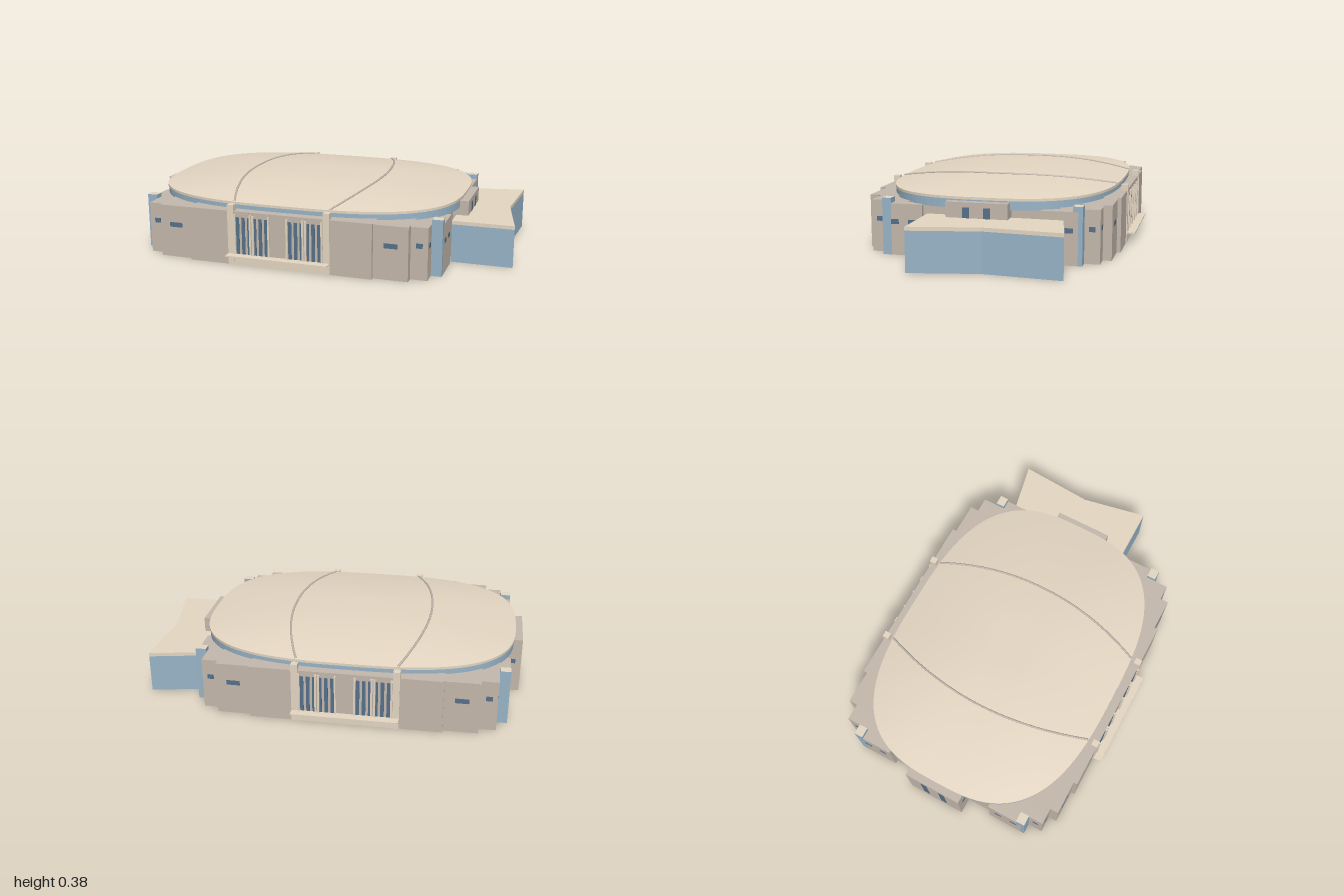
import * as THREE from 'three';

const paint = (color) => new THREE.MeshStandardMaterial({ color, side: THREE.DoubleSide });
const STONE = paint(0xc4b8ac), CREAM = paint(0xe4d6c2), BLUE = paint(0x98b4c8), GLASS = paint(0x56708a);

const N = 2.9, RX = 0.835, RZ = 0.61; // rounded roof outline

function add(parent, name, geometry, material) {
  const mesh = new THREE.Mesh(geometry, material);
  mesh.name = name;
  parent.add(mesh);
  return mesh;
}

function box(parent, name, x0, x1, y0, y1, z0, z1, material) {
  const g = new THREE.BoxGeometry(x1 - x0, y1 - y0, z1 - z0);
  add(parent, name, g, material).position.set((x0 + x1) / 2, (y0 + y1) / 2, (z0 + z1) / 2);
}

// Upright wall along points [x, z, height of the segment that ends here]
function wall(points, y0) {
  const pos = [];
  for (let i = 1; i < points.length; i++) {
    const [ax, az] = points[i - 1], [bx, bz, h] = points[i];
    pos.push(ax, y0, az, bx, y0, bz, bx, h, bz, ax, y0, az, bx, h, bz, ax, h, az);
  }
  const g = new THREE.BufferGeometry();
  g.setAttribute('position', new THREE.Float32BufferAttribute(pos, 3));
  g.computeVertexNormals();
  return g;
}

// Flat horizontal sheet at height y
function sheet(points, y) {
  const shape = new THREE.Shape(points.map(([x, z]) => new THREE.Vector2(x, -z)));
  return new THREE.ShapeGeometry(shape).rotateX(-Math.PI / 2).translate(0, y, 0);
}
const rect = (x0, x1, z0, z1) => [[x0, z1], [x1, z1], [x1, z0], [x0, z0]];

// Rounded-rectangle outline, and the shallow dome over it
function outline(t, s) {
  const c = Math.cos(t), n = Math.sin(t), p = 2 / N;
  return [RX * s * Math.sign(c) * Math.abs(c) ** p, RZ * s * Math.sign(n) * Math.abs(n) ** p];
}
const domeY = (s) => 0.32 + 0.06 * (1 - Math.max(s, 0.22) ** 2);
const roofY = (x, z) => domeY(Math.min(1, (Math.abs(x / RX) ** N + Math.abs(z / RZ) ** N) ** (1 / N)));

function roofDome() {
  const A = 96, R = 14, pos = [], idx = [];
  for (let r = 0; r <= R; r++) for (let a = 0; a <= A; a++) {
    const [x, z] = outline((a / A) * Math.PI * 2, r / R);
    pos.push(x, domeY(r / R), z);
  }
  for (let r = 0; r < R; r++) for (let a = 0; a < A; a++) {
    const i = r * (A + 1) + a, j = i + A + 1;
    idx.push(i, i + 1, j + 1, i, j + 1, j);
  }
  const g = new THREE.BufferGeometry();
  g.setAttribute('position', new THREE.Float32BufferAttribute(pos, 3));
  g.setIndex(idx);
  g.computeVertexNormals();
  return g;
}

function rimBand(y0, y1, s) {
  const pts = [];
  for (let a = 0; a <= 96; a++) pts.push([...outline(-(a / 96) * Math.PI * 2, s), y1]);
  return wall(pts, y0);
}

export function createModel() {
  const model = new THREE.Group();
  model.name = 'arena';
  const hall = new THREE.Group();
  hall.name = 'hall';
  hall.position.x = -0.128;
  model.add(hall);

  // Stepped outer wall: one quarter, mirrored round
  const quarter = [
    [0, 0.655, 0.285], [0.49, 0.655, 0.285], [0.49, 0.635, 0.285], [0.668, 0.635, 0.278],
    [0.668, 0.59, 0.278], [0.755, 0.59, 0.27], [0.755, 0.49, 0.27], [0.81, 0.49, 0.265],
    [0.81, 0.3, 0.265], [0.79, 0.3, 0.265], [0.79, 0.157, 0.265], [0.872, 0.157, 0.3], [0.872, 0, 0.3],
  ];
  for (const sx of [1, -1]) for (const sz of [1, -1]) {
    const pts = quarter.map(([x, z, h]) => [x * sx, z * sz, h]);
    if (sx * sz < 0) {
      const heights = pts.map((p) => p[2]);
      pts.reverse();
      pts.forEach((p, i) => { p[2] = heights[Math.min(heights.length - i, heights.length - 1)]; });
    }
    add(hall, 'outerWall', wall(pts, 0), STONE);
  }

  // Flat roofs over the wall steps
  const decks = [[0.49, 0.655, 0.285], [0.668, 0.635, 0.278], [0.755, 0.59, 0.27], [0.79, 0.49, 0.265]];
  for (const [x, z, y] of decks) add(hall, 'flatRoof', sheet(rect(-x, x, -z, z), y), STONE);
  for (const sx of [1, -1]) {
    const span = (a, b) => (sx > 0 ? [a, b] : [-b, -a]);
    add(hall, 'bayRoof', sheet(rect(...span(0.79, 0.872), -0.157, 0.157), 0.3), STONE);
    for (const sz of [1, -1]) {
      const [z0, z1] = sz > 0 ? [0.3, 0.49] : [-0.49, -0.3];
      add(hall, 'sideRoof', sheet(rect(...span(0.79, 0.81), z0, z1), 0.265), STONE);

      // Corner tower, open underneath
      const [tx0, tx1] = span(0.755, 0.81), [tz0, tz1] = sz > 0 ? [0.465, 0.512] : [-0.512, -0.465];
      const ring = [...rect(tx0, tx1, tz0, tz1), [tx0, tz1]].map(([x, z]) => [x, z, 0.292]);
      add(hall, 'cornerTower', wall(ring, 0), BLUE);
      add(hall, 'towerCap', sheet(rect(tx0, tx1, tz0, tz1), 0.292), CREAM);

      // Small windows on the front, back and ends
      for (const [x, w, z] of [[0.58, 0.07, 0.635], [0.712, 0.033, 0.59]])
        box(hall, 'window', sx * x - w / 2, sx * x + w / 2, 0.163, 0.188, sz * z - 0.002, sz * z + 0.002, GLASS);
      for (const [z, w, x] of [[0.55, 0.03, 0.755], [0.445, 0.04, 0.81], [0.355, 0.04, 0.81]])
        box(hall, 'sideWindow', sx * x - 0.002, sx * x + 0.002, 0.16, 0.185, sz * z - w / 2, sz * z + w / 2, GLASS);
      box(hall, 'bayWindow', sx * 0.826 - 0.016, sx * 0.826 + 0.016, 0.163, 0.188,
        sz * 0.157 - 0.002, sz * 0.157 + 0.002, GLASS);
      // Tall windows of the end bays
      box(hall, 'tallBayWindow', sx * 0.872 - 0.002, sx * 0.872 + 0.002, 0.06, 0.275,
        sz * 0.053 - 0.017, sz * 0.053 + 0.017, GLASS);
    }
  }

  // Entrance fronts, the same at front and back
  for (const turn of [0, Math.PI]) {
    const front = new THREE.Group();
    front.name = 'entranceFront';
    front.rotation.y = turn;
    hall.add(front);
    box(front, 'entranceCanopy', -0.273, 0.273, 0.053, 0.06, 0.655, 0.703, CREAM);
    box(front, 'entrancePanel', -0.24, 0.24, 0, 0.053, 0.655, 0.657, CREAM);
    for (const s of [1, -1]) {
      box(front, 'pylon', s * 0.257 - 0.017, s * 0.257 + 0.017, 0, 0.318, 0.625, 0.66, CREAM);
      for (let i = 0; i < 6; i++) {
        const x = s * (0.064 + i * 0.031);
        box(front, 'tallWindow', x - 0.009, x + 0.009, 0.06, 0.255, 0.653, 0.657, GLASS);
      }
      for (const x of [0.049, 0.134, 0.149, 0.234])
        box(front, 'fin', s * x - 0.005, s * x + 0.005, 0.06, 0.27, 0.655, 0.665, CREAM);
    }
  }

  // Domed roof with blue band below its rim
  add(hall, 'roof', roofDome(), CREAM);
  add(hall, 'roofRim', rimBand(0.307, 0.32, 1), CREAM);
  add(hall, 'clerestoryBand', rimBand(0.262, 0.307, 0.995), BLUE);

  // Two bowed ribs across the roof
  for (const s of [1, -1]) {
    const path = [];
    for (let i = 0; i <= 24; i++) {
      const v = -1 + i / 12, z = v * 0.6;
      const x = s * (0.257 + 0.12 * (1 - v * v));
      path.push(new THREE.Vector3(x, roofY(x, z) + 0.001, z));
    }
    add(hall, 'roofRib', new THREE.TubeGeometry(new THREE.CatmullRomCurve3(path), 48, 0.006, 6), STONE);
  }

  // Side annex with angled outer walls, open underneath
  const annex = [[0.68, 0.272], [1, 0.272], [0.93, -0.08], [0.957, -0.475], [0.68, -0.418]];
  const at = (h) => annex.map(([x, z]) => [x, z, h]);
  add(model, 'annexWall', wall(at(0.203), 0), BLUE);
  add(model, 'annexFascia', wall(at(0.222), 0.203), CREAM);
  add(model, 'annexRoof', sheet(annex, 0.222), CREAM);
  return model;
}
